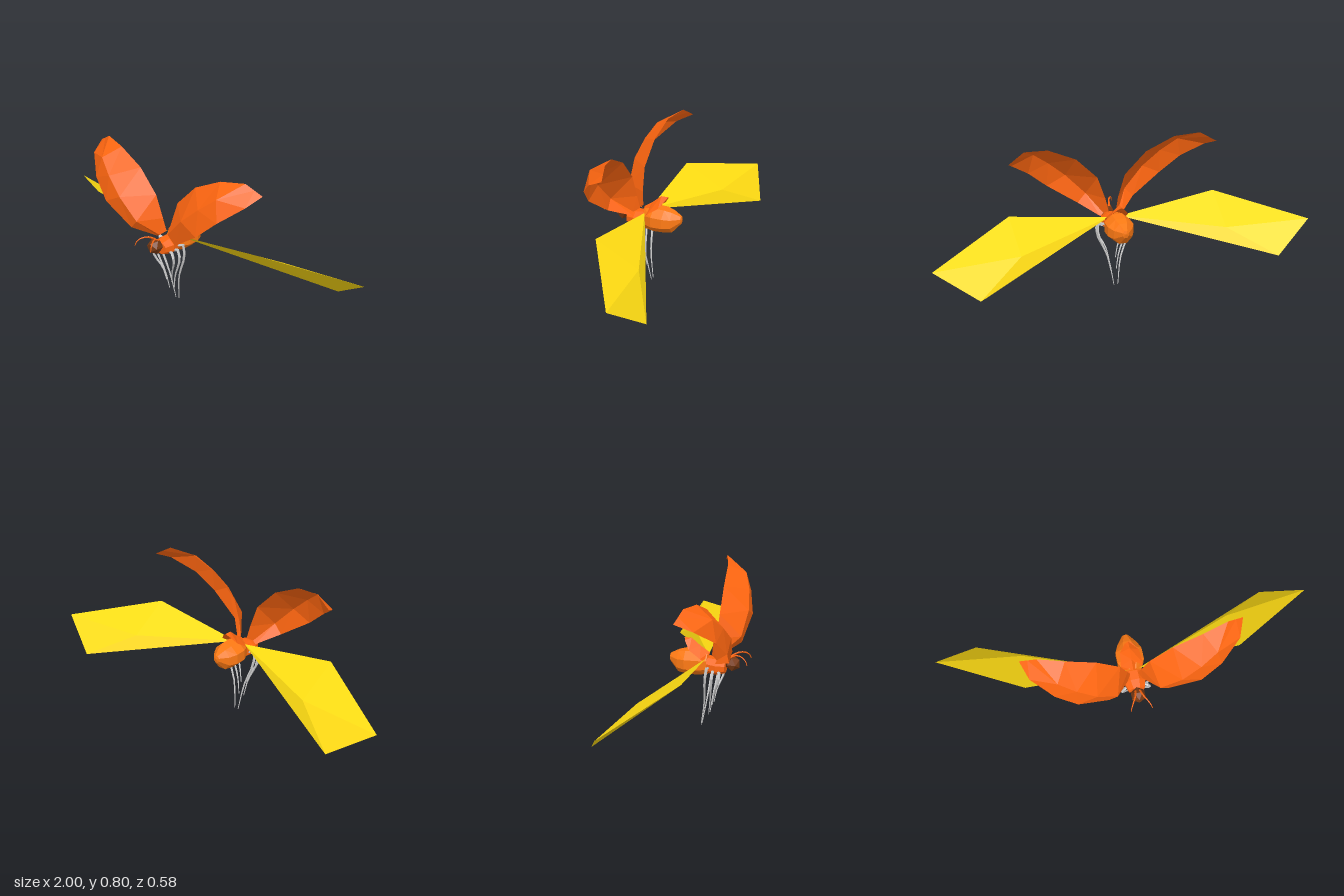
import * as THREE from 'three';

const paint = (color) => new THREE.MeshStandardMaterial({ color, flatShading: true, side: THREE.DoubleSide });
const ORANGE = paint(0xff6610), AMBER = paint(0xff7a14), BROWN = paint(0x7a3a14);
const YELLOW = paint(0xffdc12), GREY = paint(0xcccccc);

// Skin between rows of [x, y, z] points; all rows have the same count.
function loft(name, rows, material, closed = false) {
  const n = rows[0].length, index = [];
  for (let i = 0; i < rows.length - 1; i++) {
    for (let j = 0; j < (closed ? n : n - 1); j++) {
      const a = i * n + j, b = i * n + (j + 1) % n;
      index.push(a, b, a + n, b, b + n, a + n);
    }
  }
  const geometry = new THREE.BufferGeometry();
  geometry.setAttribute('position', new THREE.Float32BufferAttribute(rows.flat(2), 3));
  geometry.setIndex(index);
  geometry.computeVertexNormals();
  const mesh = new THREE.Mesh(geometry, material);
  mesh.name = name;
  return mesh;
}

// Faceted body segment from rings of [z, centreY, halfWidth, halfHeight].
function segment(name, rings, material, sides = 8) {
  const rows = rings.map(([z, cy, rx, ry]) => Array.from({ length: sides }, (_, j) => {
    const t = (j + 0.5) / sides * Math.PI * 2;
    return [Math.cos(t) * rx, cy + Math.sin(t) * ry, z];
  }));
  return loft(name, rows, material, true);
}

// Tube through points that tapers from radius r0 to r1.
function taper(name, points, r0, r1, material, steps = 6, sides = 5) {
  const curve = new THREE.CatmullRomCurve3(points.map((p) => new THREE.Vector3(...p)));
  const geometry = new THREE.TubeGeometry(curve, steps, 1, sides);
  const pos = geometry.attributes.position, v = new THREE.Vector3();
  for (let i = 0; i < pos.count; i++) {
    const t = Math.floor(i / (sides + 1)) / steps, c = curve.getPointAt(t);
    v.fromBufferAttribute(pos, i).sub(c).multiplyScalar(r0 + (r1 - r0) * t).add(c);
    pos.setXYZ(i, v.x, v.y, v.z);
  }
  geometry.computeVertexNormals();
  const mesh = new THREE.Mesh(geometry, material);
  mesh.name = name;
  return mesh;
}

export function createModel() {
  const model = new THREE.Group();
  model.name = 'beetle';

  // Body
  model.add(segment('abdomen', [
    [0.085, 0.355, 0, 0], [0.075, 0.355, 0.045, 0.06], [0.02, 0.36, 0.075, 0.07],
    [-0.04, 0.36, 0.075, 0.067], [-0.08, 0.357, 0.055, 0.06], [-0.125, 0.372, 0.018, 0.022], [-0.13, 0.375, 0, 0],
  ], AMBER));
  model.add(segment('thorax', [
    [0.17, 0.345, 0, 0], [0.17, 0.345, 0.045, 0.034], [0.125, 0.345, 0.06, 0.046],
    [0.075, 0.35, 0.055, 0.045], [0.07, 0.35, 0, 0],
  ], ORANGE));

  // Roof-shaped plate raised over the abdomen
  model.add(loft('backPlate', [
    [[-0.045, 0.37, 0.07], [0, 0.415, 0.085], [0.045, 0.37, 0.07]],
    [[-0.058, 0.395, 0.045], [0, 0.448, 0.035], [0.058, 0.395, 0.045]],
    [[-0.05, 0.435, -0.015], [0, 0.487, -0.012], [0.05, 0.435, -0.015]],
    [[-0.018, 0.476, -0.045], [0, 0.487, -0.05], [0.018, 0.476, -0.045]],
  ], ORANGE));

  const head = new THREE.Mesh(new THREE.IcosahedronGeometry(0.042, 0), BROWN);
  head.name = 'head';
  head.position.set(0, 0.366, 0.205);
  model.add(head);

  for (const [side, s] of [['left', 1], ['right', -1]]) {
    const flip = (points) => points.map(([x, y, z]) => [s * x, y, z]);

    // Wing cover: rear upper edge, ridge, forward lower edge at each station
    model.add(loft(side + 'WingCover', [
      [[0.02, 0.41, 0.1], [0.04, 0.39, 0.13], [0.06, 0.377, 0.125]],
      [[0.035, 0.48, 0.11], [0.11, 0.475, 0.226], [0.155, 0.427, 0.22]],
      [[0.075, 0.6, 0.117], [0.215, 0.585, 0.242], [0.315, 0.535, 0.245]],
      [[0.19, 0.717, 0.112], [0.31, 0.67, 0.224], [0.42, 0.63, 0.213]],
      [[0.34, 0.788, 0.1], [0.395, 0.738, 0.19], [0.524, 0.715, 0.13]],
      [[0.47, 0.805, 0.068], [0.515, 0.78, 0.055], [0.556, 0.757, 0.043]],
    ].map(flip), ORANGE));

    // Hind wing: flat underside, upper side raised to a low point
    const outline = [[0.03, 0.39, 0.07], [0.56, 0.463, 0.08], [1, 0.35, -0.195], [0.79, 0.207, -0.29]];
    model.add(loft(side + 'HindWing', [
      Array(4).fill([0.675, 0.335, -0.105]), outline, Array(4).fill([0.55, 0.34, -0.14]),
    ].map(flip), YELLOW, true));

    // Antenna
    model.add(taper(side + 'Antenna', flip([
      [0.012, 0.395, 0.19], [0.02, 0.418, 0.225], [0.035, 0.42, 0.255], [0.05, 0.408, 0.28], [0.056, 0.382, 0.292],
    ]), 0.006, 0.002, ORANGE, 6, 4));

    // Legs
    const legs = {
      FrontLeg: [[0.035, 0.325, 0.135], [0.068, 0.325, 0.15], [0.072, 0.275, 0.143], [0.035, 0.2, 0.116], [0.018, 0.13, 0.104]],
      MiddleLeg: [[0.035, 0.325, 0.11], [0.078, 0.335, 0.115], [0.08, 0.275, 0.11], [0.035, 0.165, 0.095], [0.016, 0.07, 0.083]],
      RearLeg: [[0.035, 0.34, 0.085], [0.083, 0.358, 0.086], [0.084, 0.29, 0.077], [0.034, 0.15, 0.064], [0.011, 0.002, 0.041]],
    };
    for (const [name, path] of Object.entries(legs)) {
      model.add(taper(side + name, flip(path), 0.009, 0.002, GREY, 8));
    }
  }
  return model;
}
